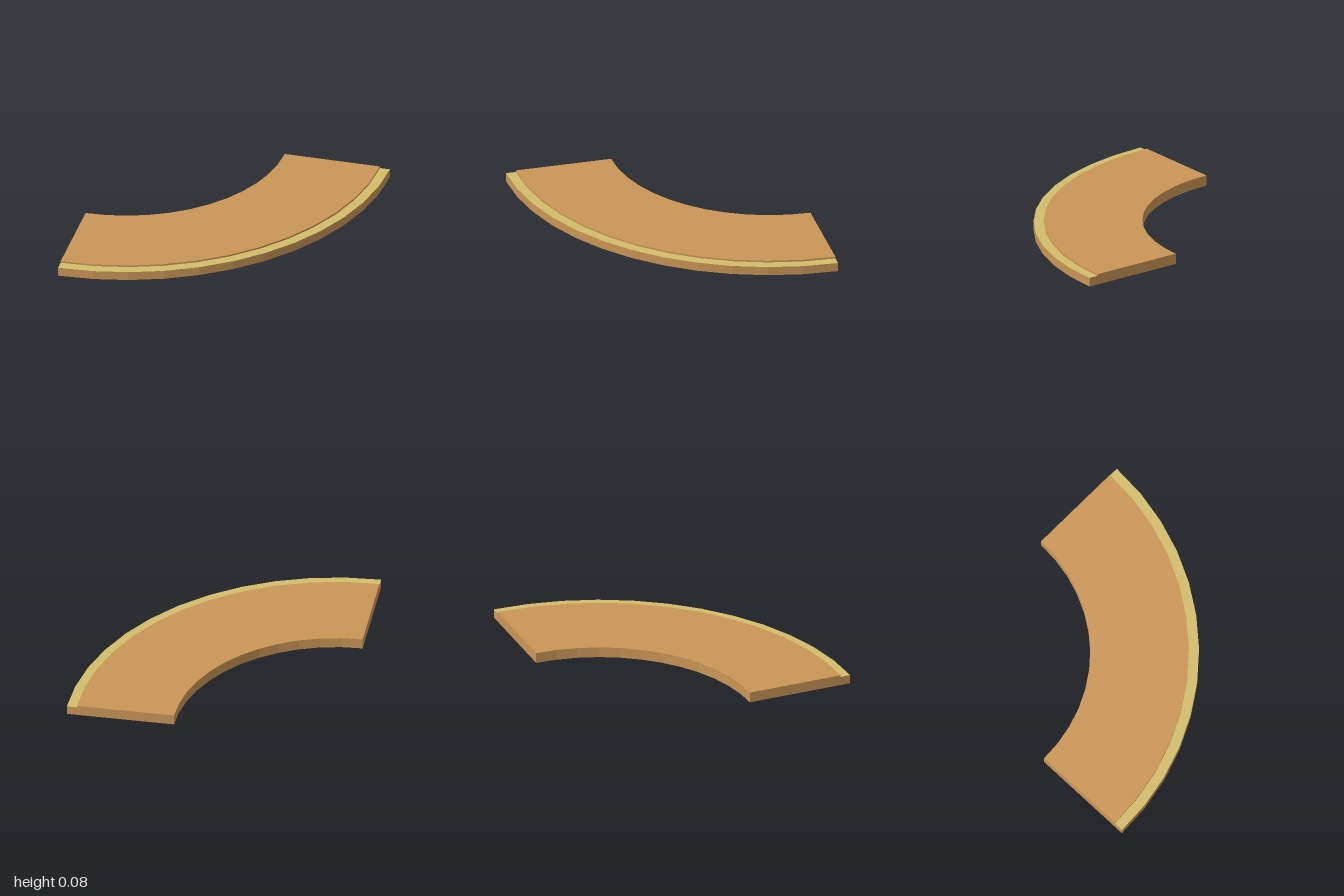
import * as THREE from 'three';

const INNER = 1.2, STEP = 1.925, OUTER = 2;   // radii about the bend centre
const LEDGE_Y = 0.067, TOP_Y = 0.08;
const SEGMENTS = 12;

export function createModel() {
  const group = new THREE.Group();
  group.name = 'curvedSlab';
  const wood = new THREE.MeshStandardMaterial({ name: 'wood', color: 0xcb9656 });
  const trim = new THREE.MeshStandardMaterial({ name: 'paleTrim', color: 0xd3be6b });

  const add = (name, geometry, material) => {
    const mesh = new THREE.Mesh(geometry, material);
    mesh.name = name;
    mesh.position.set(-1, 0, -1);
    group.add(mesh);
  };

  // Faceted quarter-turn surface swept from a radius/height profile
  const sweep = (...points) => {
    const profile = points.map(([r, y]) => new THREE.Vector2(r, y));
    const geometry = new THREE.LatheGeometry(profile, SEGMENTS, 0, Math.PI / 2).toNonIndexed();
    geometry.computeVertexNormals();
    return geometry;
  };

  // Underside and walls, raised deck, and the narrow outer ledge
  add('base', sweep([INNER, 0], [OUTER, 0], [OUTER, LEDGE_Y]), wood);
  add('raisedDeck', sweep([STEP, LEDGE_Y], [STEP, TOP_Y], [INNER, TOP_Y], [INNER, 0]), wood);
  add('outerLedge', sweep([OUTER, LEDGE_Y], [STEP, LEDGE_Y]), trim);

  // Flat ends with the stepped cross-section
  const section = [[INNER, 0], [OUTER, 0], [OUTER, LEDGE_Y], [STEP, LEDGE_Y], [STEP, TOP_Y], [INNER, TOP_Y]];
  const endFace = (side, angle) => new THREE.ShapeGeometry(
    new THREE.Shape(section.map(([r, y]) => new THREE.Vector2(side * r, y)))
  ).rotateY(angle);
  add('rightEnd', endFace(1, -Math.PI / 2), wood);
  add('backEnd', endFace(-1, Math.PI), wood);

  return group;
}
